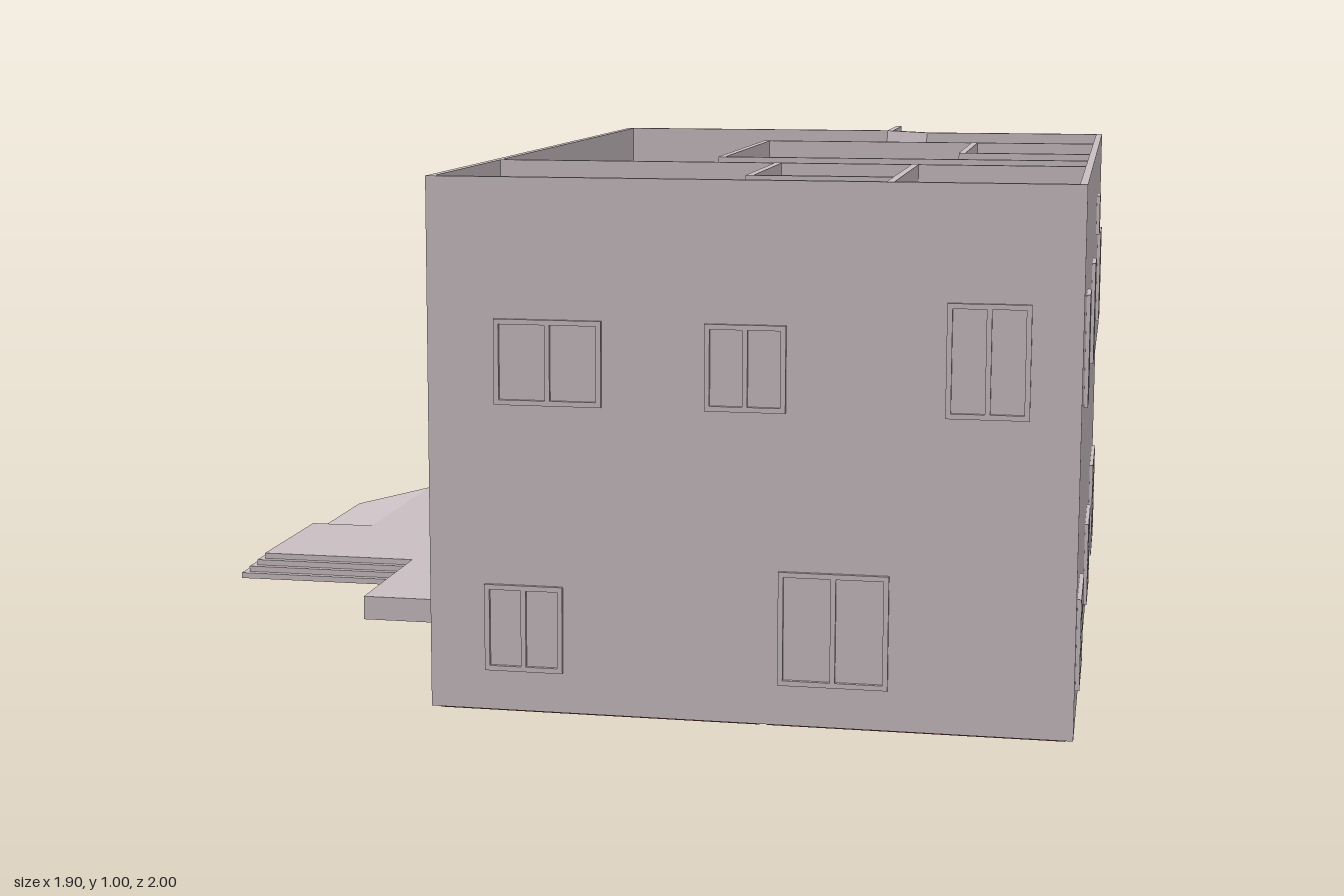
import * as THREE from 'three';

const mat = (name, color) => {
  const m = new THREE.MeshStandardMaterial({ color });
  m.name = name;
  return m;
};

export function createModel() {
  const house = new THREE.Group();
  house.name = 'house';
  const wall = mat('wall', 0xc9bec2), red = mat('red floor', 0x7d2a2c), violet = mat('pool violet', 0x5c52a5);
  const green = mat('green floor', 0x437c66), bright = mat('ornament red', 0xc02a24);

  const add = (name, geo, m = wall, parent = house) => {
    const mesh = new THREE.Mesh(geo, m);
    mesh.name = name;
    parent.add(mesh);
    return mesh;
  };
  // Box given by its limits
  const block = (name, x0, x1, y0, y1, z0, z1, m = wall, parent = house) => {
    const g = new THREE.BoxGeometry(x1 - x0, y1 - y0, z1 - z0);
    g.translate((x0 + x1) / 2, (y0 + y1) / 2, (z0 + z1) / 2);
    return add(name, g, m, parent);
  };
  // Floor plan (x, z points) extruded upward, with optional holes
  const plan = (name, pts, y0, y1, m = wall, holes = []) => {
    const v = (list) => list.map(([x, z]) => new THREE.Vector2(x, -z));
    const shape = new THREE.Shape(v(pts));
    holes.forEach((h) => shape.holes.push(new THREE.Path(v(h))));
    const g = new THREE.ExtrudeGeometry(shape, { depth: y1 - y0, bevelEnabled: false });
    g.rotateX(-Math.PI / 2);
    g.translate(0, y0, 0);
    return add(name, g, m);
  };

  const L = -0.18, R = 0.945, F = 0.99, B = -1, T = 0.013;

  // Ground storey with the rear corner cut away
  plan('groundStorey', [[L, F], [R, F], [R, -0.53], [0.49, -0.53], [0.49, B], [L, B]], 0.058, 0.522);

  // Floor slab reaching over the cut corner, with an edge beam below it
  plan('floorSlab', [[L, F], [R, F], [R, B], [L, B]], 0.54, 0.565);
  plan('slabEdge', [[L, F], [R, F], [R, B], [L, B]], 0.522, 0.54, wall,
    [[[0.49, -0.53], [R - T, -0.53], [R - T, B + T], [0.49, B + T]]]);
  plan('poolUnderside', [[0.49, B + T], [R - T, B + T], [R - T, -0.7], [0.55, -0.7], [0.49, -0.75]], 0.534, 0.54, violet);
  plan('roomUnderside', [[0.49, -0.75], [0.55, -0.7], [R - T, -0.7], [R - T, -0.53], [0.49, -0.53]], 0.535, 0.54, red);
  block('undersideBeam', 0.55, R - T, 0.525, 0.54, -0.7, -0.686);

  // Upper storey, then the walls that rise past the ceiling
  const upper = [[L, F], [R, F], [R, -0.69], [0.55, -0.69], [0.45, -0.775], [L, -0.775]];
  plan('upperStorey', upper, 0.565, 0.825);
  plan('outerWalls', upper, 0.825, 1, wall,
    [[[L + T, F - T], [R - T, F - T], [R - T, -0.677], [0.545, -0.677], [0.445, -0.762], [L + T, -0.762]]]);
  const partitions = [
    [L + T, R - T, 0.507, 0.52], [0.225, R - T, 0.335, 0.348], [0.225, 0.238, -0.27, 0.335],
    [0.225, R - T, -0.27, -0.257], [0.675, 0.688, -0.257, 0.132], [0.688, R - T, 0.119, 0.132],
    [0.36, 0.373, 0.52, 0.87], [0.373, 0.615, 0.857, 0.87], [0.615, 0.628, 0.52, F - T],
  ];
  partitions.forEach(([x0, x1, z0, z1]) => block('partitionWall', x0, x1, 0.825, 1, z0, z1));
  block('floorGap', 0.238, 0.675, 0.825, 0.828, -0.257, -0.242, red);
  block('floorGap', 0.688, R - T, 0.825, 0.828, 0.132, 0.143, red);

  // Balcony: red floor, dividing wall and pool
  block('balconyFloor', L + T, 0.445, 0.565, 0.57, B + T, -0.775, red);
  block('balconyDivider', 0.445, 0.458, 0.565, 1, -0.988, -0.765);
  plan('poolDeck', [[0.458, B + T], [R - T, B + T], [R - T, -0.69], [0.55, -0.69], [0.458, -0.768]], 0.565, 0.57, violet);
  plan('poolRim', [[0.55, -0.984], [0.93, -0.984], [0.93, -0.78], [0.55, -0.78]], 0.57, 0.588, violet,
    [[[0.577, -0.958], [0.903, -0.958], [0.903, -0.806], [0.577, -0.806]]]);
  block('balconyDoor', 0.08, 0.18, 0.57, 0.8, -0.779, -0.775);

  // Balcony railing with three round ornaments
  const railing = new THREE.Group();
  railing.name = 'railing';
  house.add(railing);
  for (const y of [0.58, 0.66]) {
    block('rail', L, 0.445, y, y + 0.008, -0.996, -0.988, wall, railing);
    block('sideRail', L, L + 0.008, y, y + 0.008, -0.99, -0.775, wall, railing);
  }
  for (let i = 0; i <= 30; i++) {
    const x = L + i * 0.0206;
    block('baluster', x, x + 0.005, 0.565, 0.662, -0.995, -0.99, wall, railing);
  }
  for (let i = 1; i <= 10; i++) {
    const z = -0.99 + i * 0.021;
    block('sideBaluster', L + 0.001, L + 0.006, 0.565, 0.662, z, z + 0.005, wall, railing);
  }
  [-0.05, 0.13, 0.31].forEach((x, i) => {
    for (const r of [0.018, 0.034]) {
      const g = new THREE.TorusGeometry(r, 0.004, 6, 20);
      g.translate(x, 0.623, -0.995);
      add('railingOrnament', g, i === 1 ? bright : wall, railing);
    }
  });

  // Window frames: centre along the wall, width, bottom, top
  const addWindow = (side, at, u0, u1, y0, y1) => {
    const w = new THREE.Group();
    w.name = 'windowFrame';
    const t = 0.009, d = 0.007, h = (u1 - u0) / 2, m = (u0 + u1) / 2;
    block('jamb', -h, -h + t, y0, y1, 0, d, wall, w);
    block('jamb', h - t, h, y0, y1, 0, d, wall, w);
    block('mullion', -t / 2, t / 2, y0, y1, 0, d, wall, w);
    block('sill', -h, h, y0, y0 + t, 0, d, wall, w);
    block('head', -h, h, y1 - t, y1, 0, d, wall, w);
    if (side === 'front') w.position.set(m, 0, at);
    else {
      w.position.set(at, 0, m);
      w.rotation.y = side === 'left' ? Math.PI / 2 : -Math.PI / 2;
    }
    house.add(w);
  };
  [[-0.06, 0.13, 0.605, 0.755], [0.31, 0.45, 0.605, 0.755], [0.72, 0.86, 0.605, 0.8],
    [-0.08, 0.06, 0.13, 0.285], [0.44, 0.63, 0.13, 0.33]].forEach((a) => addWindow('front', F, ...a));
  [[0.73, 0.83, 0.605, 0.8], [0.18, 0.29, 0.605, 0.8], [-0.53, -0.39, 0.605, 0.8], [-0.2, -0.12, 0.82, 0.9],
    [0.73, 0.93, 0.13, 0.29], [0.1, 0.3, 0.13, 0.29], [-0.4, -0.15, 0.13, 0.325]].forEach((a) => addWindow('left', R, ...a));
  addWindow('left', 0.49, -0.84, -0.65, 0.13, 0.29);
  [[-0.63, -0.4, 0.605, 0.8], [-0.12, 0.12, 0.605, 0.8], [0.66, 0.86, 0.605, 0.8],
    [0.22, 0.36, 0.13, 0.32], [-0.35, -0.22, 0.06, 0.25], [-0.84, -0.67, 0.13, 0.29]].forEach((a) => addWindow('right', L, ...a));

  // Coloured floors seen on the underside
  const y0 = 0.053, y1 = 0.058;
  plan('hallFloor', [[L + T, -0.52], [0.64, -0.52], [0.64, -0.07], [0.41, -0.07], [0.41, 0.54], [0.21, 0.54],
    [0.21, -0.07], [L + T, -0.07]], y0, y1, green);
  [[L + T, 0.48, B + T, -0.533], [0.653, R - T, -0.52, -0.07], [0.423, R - T, -0.057, 0.34], [0.82, R - T, 0.34, 0.54],
    [0.42, R - T, 0.553, F - T], [L + T, 0.407, 0.553, F - T], [L + T, 0.197, -0.057, 0.2],
    [L + T, -0.01, 0.2, 0.54]].forEach(([x0, x1, z0, z1]) => block('roomFloor', x0, x1, y0, y1, z0, z1, red));

  // Terrace with corner steps and a ramp
  plan('terrace', [[L, B], [-0.76, B], [-0.76, -0.51], [-0.91, -0.51], [-0.91, -0.17], [-0.56, -0.17],
    [-0.56, 0.19], [L, 0.19]], 0, 0.05);
  for (let i = 1; i <= 3; i++) {
    const x = -0.91 - i * 0.0135, z = -0.17 + i * 0.015, h = 0.05 - i * 0.0125;
    plan('step', [[x, -0.51], [-0.91, -0.51], [-0.91, -0.17], [-0.56, -0.17], [-0.56, z], [x, z]], 0, h);
  }
  const wedge = new THREE.Shape([[-0.95, 0], [-0.76, 0], [-0.76, 0.05]].map(([x, y]) => new THREE.Vector2(x, y)));
  const ramp = new THREE.ExtrudeGeometry(wedge, { depth: 0.49, bevelEnabled: false });
  ramp.translate(0, 0, B);
  add('ramp', ramp);

  return house;
}
